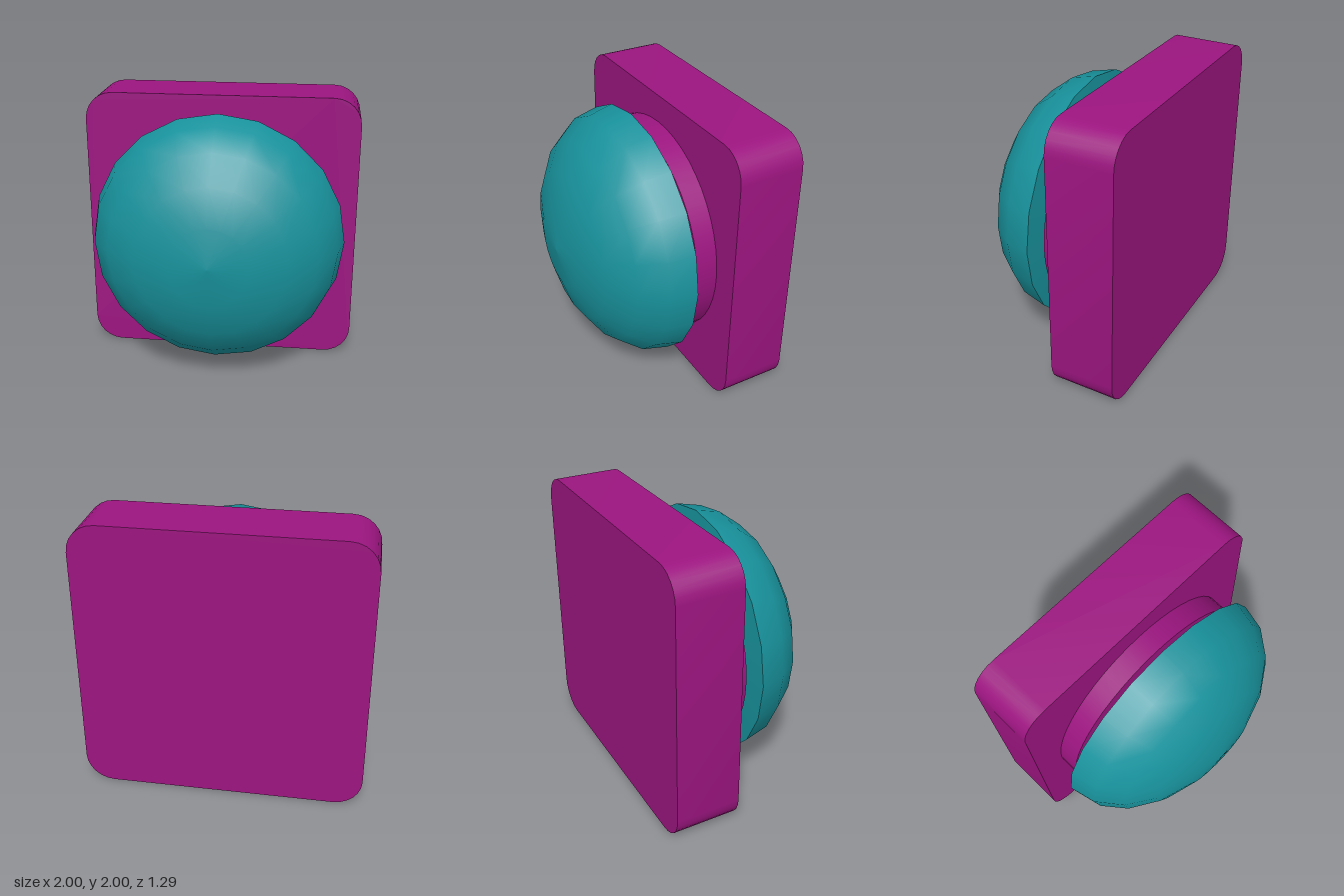
import * as THREE from 'three';
import { toCreasedNormals } from 'three/addons/utils/BufferGeometryUtils.js';

const magenta = new THREE.MeshStandardMaterial({ color: 0x9c1580 });
const teal = new THREE.MeshStandardMaterial({ color: 0x18929c });

export function createModel() {
  const group = new THREE.Group();
  const add = (name, geometry, material, z = 0) => {
    const mesh = new THREE.Mesh(geometry, material);
    mesh.name = name;
    mesh.position.set(0, 1, z);
    group.add(mesh);
  };
  // Profile points are [radius, z]; the axis is turned to face the front.
  const lathe = (points, sides) => new THREE.LatheGeometry(
    points.map(([r, z]) => new THREE.Vector2(r, z)), sides).rotateX(Math.PI / 2);

  // Square base plate with rounded corners
  const c = 0.8, r = 0.2;
  const outline = new THREE.Shape();
  [[c, c], [-c, c], [-c, -c], [c, -c]].forEach(([x, y], i) =>
    outline.absarc(x, y, r, i * Math.PI / 2, (i + 1) * Math.PI / 2));
  const plate = new THREE.ExtrudeGeometry(outline, { depth: 0.47, bevelEnabled: false, curveSegments: 3 });
  add('basePlate', toCreasedNormals(plate, 0.6), magenta, -0.645);

  // Round collar on the plate
  const collar = new THREE.CylinderGeometry(0.805, 0.805, 0.155, 48).rotateX(Math.PI / 2);
  add('collar', collar, magenta, -0.0975);

  // Stem joining the collar and the button
  const stem = new THREE.CylinderGeometry(0.555, 0.555, 0.06, 20).rotateX(Math.PI / 2);
  add('stem', stem, teal, -0.02);

  // Flattened dome
  const dome = [];
  for (let i = 0; i <= 5; i++) {
    const a = i * Math.PI / 10;
    dome.push([i === 5 ? 0 : 0.917 * Math.cos(a), 0.04 + 0.605 * Math.sin(a)]);
  }
  add('buttonDome', lathe(dome, 20), teal);

  // Shallow cone under the dome
  add('buttonUnderside', lathe([[0, 0], [0.5, 0]], 20), teal);
  add('buttonSkirt', lathe([[0.5, 0], [0.917, 0.04]], 20), teal);

  return group;
}
